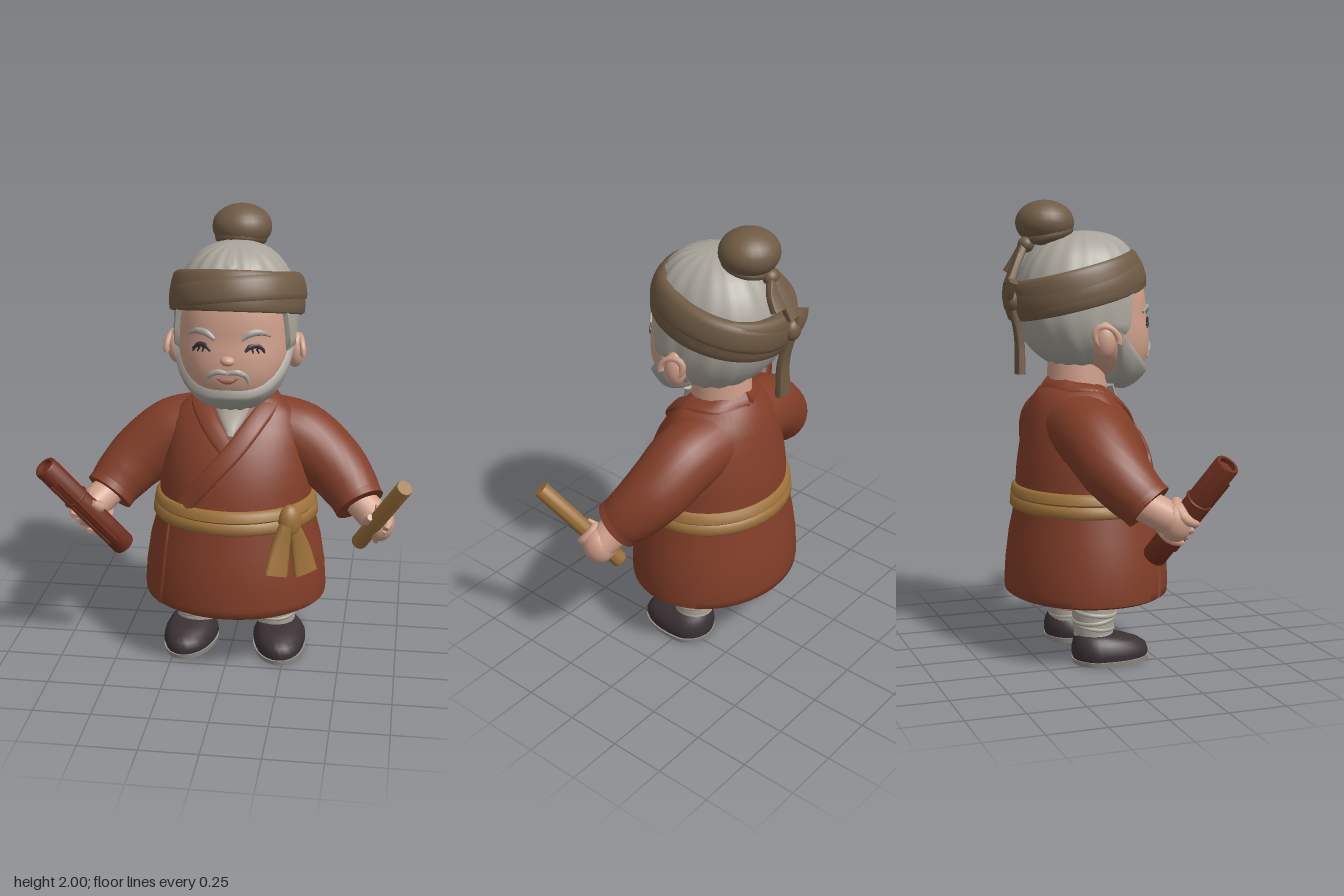
import * as THREE from 'three';
import { toCreasedNormals } from 'three/addons/utils/BufferGeometryUtils.js';

const V = (x, y, z) => new THREE.Vector3(x, y, z);
const { lerp, clamp, smoothstep } = THREE.MathUtils;
const mat = (name, color) => Object.assign(new THREE.MeshStandardMaterial({ color }), { name });

// Surface through rings of points; closed rings also get end caps
function skin(rings, closed = true, crease = 0.9) {
  const n = rings[0].length, pos = [], idx = [];
  rings.forEach(r => r.forEach(p => pos.push(p.x, p.y, p.z)));
  for (let i = 0; i < rings.length - 1; i++)
    for (let j = 0; j < (closed ? n : n - 1); j++) {
      const a = i * n + j, b = i * n + (j + 1) % n;
      idx.push(a, b, a + n, b, b + n, a + n);
    }
  if (closed) [0, rings.length - 1].forEach((i, end) => {
    const c = rings[i].reduce((s, p) => s.add(p), V(0, 0, 0)).divideScalar(n), k = pos.length / 3;
    pos.push(c.x, c.y, c.z);
    for (let j = 0; j < n; j++) {
      const a = i * n + j, b = i * n + (j + 1) % n;
      idx.push(k, end ? a : b, end ? b : a);
    }
  });
  const g = new THREE.BufferGeometry();
  g.setAttribute('position', new THREE.Float32BufferAttribute(pos, 3));
  g.setIndex(idx);
  return toCreasedNormals(g, crease);
}

// Oval section swept along a curve; sizes are [half width, half thickness] along the way
function sweep(pts, sizes, up, segs = 14, sides = 12, power = 1) {
  const curve = new THREE.CatmullRomCurve3(pts), rings = [];
  for (let i = 0; i <= segs; i++) {
    const t = i / segs, p = curve.getPoint(t), T = curve.getTangent(t);
    const N = typeof up === 'function' ? up(p) : up.clone();
    N.addScaledVector(T, -N.dot(T)).normalize();
    const B = N.clone().cross(T), f = t * (sizes.length - 1), k = Math.min(Math.floor(f), sizes.length - 2);
    const w = lerp(sizes[k][0], sizes[k + 1][0], f - k), h = lerp(sizes[k][1], sizes[k + 1][1], f - k);
    rings.push(Array.from({ length: sides }, (_, j) => {
      const a = j / sides * Math.PI * 2, c = Math.cos(a), s = Math.sin(a);
      return p.clone().addScaledVector(B, w * Math.sign(c) * Math.abs(c) ** power)
        .addScaledVector(N, h * Math.sign(s) * Math.abs(s) ** power);
    }));
  }
  return skin(rings);
}

// Robe profile: height, half width, front depth, back depth
const ROBE = [[.278, .39, .35, .335], [.288, .406, .364, .35], [.32, .409, .367, .354], [.42, .402, .362, .348],
  [.55, .382, .347, .332], [.66, .352, .318, .31], [.74, .338, .308, .302], [.82, .337, .293, .3], [.9, .328, .27, .29],
  [1, .305, .228, .273], [1.08, .282, .175, .255], [1.14, .248, .122, .232], [1.19, .19, .08, .2], [1.215, .11, .05, .15]];
function robeRow(y) {
  let i = 0;
  while (i < ROBE.length - 2 && ROBE[i + 1][0] < y) i++;
  const t = clamp((y - ROBE[i][0]) / (ROBE[i + 1][0] - ROBE[i][0]), 0, 1);
  return ROBE[i].map((v, k) => lerp(v, ROBE[i + 1][k], t));
}
const robeRing = (y, off = 0) => {
  const [, rx, zf, zb] = robeRow(y);
  return Array.from({ length: 48 }, (_, j) => {
    const a = j / 48 * Math.PI * 2, c = Math.cos(a);
    return V(Math.sin(a) * (rx + off), y, c * ((c > 0 ? zf : zb) + off));
  });
};
const onRobe = (x, y, off = .006) => {
  const [, rx, zf] = robeRow(y);
  return V(x, y, zf * Math.sqrt(Math.max(0, 1 - (x / rx) ** 2)) + off);
};

// Head: rounded oval with a forward chin
const P = 2.35, HX = .243, HZ = .272, HY = 1.5;
function headPoint(th, ph, off = 0) {
  const d = V(Math.sin(th) * Math.cos(ph), Math.sin(ph), Math.cos(th) * Math.cos(ph));
  d.divideScalar((Math.abs(d.x) ** P + Math.abs(d.y) ** P + Math.abs(d.z) ** P) ** (1 / P));
  const ry = d.y > 0 ? .338 : lerp(.225, .315, smoothstep(d.z, -.2, .4));
  const y = d.y * (ry + off);
  return V(d.x * (HX + off), HY + y, d.z * (HZ + off) + Math.max(0, -y) * .22 - .006);
}
const onFace = (x, y, off = .004) => {
  const dy = y - HY, r = 1 - Math.abs(x / HX) ** P - Math.abs(dy / (dy > 0 ? .338 : .315)) ** P;
  return V(x, y, HZ * Math.max(0, r) ** (1 / P) + Math.max(0, -dy) * .22 + off - .006);
};
// Patch of the head between two elevations for each azimuth
function headPatch(a0, a1, lo, hi, off, cols, rows) {
  return skin(Array.from({ length: rows + 1 }, (_, i) => Array.from({ length: cols + 1 }, (_, j) => {
    const th = lerp(a0, a1, j / cols), v = i / rows;
    return headPoint(th, lerp(lo(th), hi(th), v), off(th, v));
  })), false, 1.2);
}

export function createModel() {
  const root = new THREE.Group(), body = new THREE.Group();
  body.name = 'figure';
  body.position.x = .015;
  root.add(body);
  const robe = mat('robe red', 0x823e28), ochre = mat('ochre', 0x9c7039), cloth = mat('headband brown', 0x6f5a44),
    hair = mat('grey hair', 0xa8a49b), flesh = mat('skin', 0xcf9f8a), shoe = mat('dark shoe', 0x3b3134),
    sole = mat('sole grey', 0x96938c), wrap = mat('leg wrap', 0xb0aa9e), wood = mat('red wood', 0x70301f),
    lip = mat('lip', 0xa4675a);
  hair.side = THREE.DoubleSide;
  const add = (name, geo, m, parent = body) => {
    const o = new THREE.Mesh(geo, m);
    o.name = name;
    parent.add(o);
    return o;
  };
  const ball = (name, m, p, s) => {
    const o = add(name, new THREE.SphereGeometry(1, 24, 16), m);
    o.position.set(...p);
    o.scale.set(...s);
    return o;
  };
  const outward = p => V(p.x, .12, p.z + .02);
  const front = V(0, 0, 1);

  // Robe, lapels and skirt edge
  add('robe', skin(ROBE.map(r => robeRing(r[0]))), robe);
  const chest = p => V(p.x * .6, .35, p.z > 0 ? .6 : p.z * 3);
  add('overLapel', sweep([V(0, 1.212, -.17), V(.12, 1.2, -.11), V(.155, 1.185, .01), onRobe(.1, 1.11), onRobe(.02, 1.01),
    onRobe(-.08, .9), onRobe(-.19, .765, .004)], [[.035, .018], [.042, .016], [.042, .012], [.038, .01]], chest, 36, 12, .6), robe);
  add('underLapel', sweep([V(0, 1.212, -.17), V(-.12, 1.2, -.11), V(-.155, 1.185, .01), onRobe(-.1, 1.11, .003),
    onRobe(0, 1.0, -.004)], [[.035, .018], [.042, .016], [.038, .01]], chest, 28, 12, .6), robe);
  add('undershirt', sweep([V(0, 1.2, .1), V(0, 1.13, .135), V(0, 1.06, .185)], [[.09, .02], [.055, .015], [.012, .01]], front), wrap);
  add('skirtEdge', sweep([.66, .56, .45, .36, .29].map((y, i) => onRobe(-.27 - i * .01, y, 0)),
    [[.012, .007], [.012, .007]], outward, 12, 8), robe);

  // Belt with knot and hanging tails
  add('belt', skin([[.655, -.01], [.66, .01], [.67, .019], [.7, .021], [.712, .012], [.72, .021], [.752, .018], [.762, .008],
    [.766, -.01]].map(([y, o]) => robeRing(y, o))), ochre);
  ball('beltKnot', ochre, [.265, .705, .235], [.055, .078, .045]).rotation.y = .7;
  [[[.25, .7], [.23, .6], [.215, .49]], [[.275, .7], [.31, .58], [.335, .465]]].forEach(t =>
    add('beltTail', sweep(t.map(([x, y], i) => onRobe(x, y, .035 + (i === 0 ? .02 : 0))),
      [[.026, .022], [.046, .02], [.058, .018]], V(.6, 0, .8), 10, 12, .6), ochre));

  // Legs and shoes
  [-1, 1].forEach(s => {
    const leg = new THREE.Group();
    leg.name = s > 0 ? 'leftLeg' : 'rightLeg';
    leg.position.set(s * .185, 0, -.02);
    body.add(leg);
    add('trouserCuff', new THREE.CylinderGeometry(.118, .11, .035, 24), shoe, leg).position.y = .277;
    add('shin', new THREE.CylinderGeometry(.1, .08, .2, 24), wrap, leg).position.y = .17;
    [.13, .162, .194, .226].forEach((y, i) => {
      const ring = add('legWrap', new THREE.TorusGeometry(.077 + i * .005, .011, 8, 24), wrap, leg);
      ring.position.y = y;
      ring.rotation.set(Math.PI / 2 + .12 * (i % 2 ? 1 : -1), .08, 0);
    });
    const foot = new THREE.Group();
    foot.name = 'shoe';
    foot.position.x = s * .015;
    foot.rotation.y = s * .1;
    leg.add(foot);
    // Shoe rows: height, half width, heel depth, toe reach
    const footRing = ([y, w, h, t]) => Array.from({ length: 28 }, (_, j) => {
      const a = j / 28 * Math.PI * 2, c = Math.cos(a);
      return V(Math.sin(a) * w * (1 + .08 * c), y, c > 0 ? c * t : c * h);
    });
    add('sole', skin([[0, .116, .096, .237], [.022, .121, .101, .242]].map(footRing)), sole, foot);
    add('shoeUpper', skin([[.022, .113, .096, .235], [.045, .12, .101, .24], [.075, .115, .1, .229], [.096, .104, .096, .198],
      [.113, .092, .09, .145], [.126, .078, .082, .085]].map(footRing)), shoe, foot);
  });

  // Sleeves, hands and the two held sticks
  const grips = { 1: [V(.557, .56, .08), V(.75, .925, .34), .3, .036], '-1': [V(-.485, .515, .14), V(-.78, .945, .34), .4, .052] };
  [-1, 1].forEach(s => {
    const side = s > 0 ? 'left' : 'right', [a, b, t, r] = grips[s];
    add(side + 'Sleeve', sweep([V(s * .1, 1.035, -.07), V(s * .28, .995, -.055), V(s * .42, .895, -.02), V(s * .505, .81, .035),
      V(s * .555, .747, .088)], [[.16, .15], [.155, .155], [.145, .142], [.126, .126], [.108, .108]], V(0, 1, .1), 28, 24), robe);
    add(side + 'Cuff', sweep([V(s * .541, .765, .073), V(s * .557, .744, .091)], [[.113, .113], [.113, .113]], V(0, 1, .1), 2, 24), robe);
    const dir = b.clone().sub(a).normalize(), len = a.distanceTo(b), c = a.clone().lerp(b, t);
    const palm = c.clone().add(V(s * .03, .005, -.04));
    add(side + 'Wrist', sweep([V(s * .555, .755, .07), palm], [[.075, .07], [.07, .07]], V(0, 1, 0), 6, 16), flesh);
    const hand = new THREE.Group();
    hand.name = side + 'Hand';
    hand.position.copy(c);
    hand.quaternion.setFromUnitVectors(front, dir);
    body.add(hand);
    // Fingers curl round the outer side and leave the front of the stick open
    for (let k = 0; k < 4; k++) {
      const arc = [0, .25, .5, .75, 1].map(u => {
        const q = Math.PI / 2 - s * (2.5 * u - .1);
        return V(Math.cos(q) * (r + .016), Math.sin(q) * (r + .016), -.06 + k * .038);
      });
      add('finger', sweep(arc, [[.026, .026], [.026, .026], [.024, .024], [.013, .013]], front, 14, 10), flesh, hand);
    }
    ball('palm', flesh, palm.toArray(), [.066, .083, .072]);
    add('thumb', sweep([palm.clone().add(V(-s * .03, .03, 0)), c.clone().addScaledVector(dir, .05).add(V(-s * (r + .008), 0, -.005)),
      c.clone().addScaledVector(dir, .09).add(V(-s * (r + .006), 0, .012))], [[.026, .026], [.024, .024], [.014, .014]], V(0, 1, 0), 10, 10), flesh);
    // Solid short stick, or a hollow-ended tube
    const i = r * .68, shell = [[r * .92, 0], [r, .008], [r, len - .008], [r * .92, len]];
    const pts = s > 0 ? [[0, 0], ...shell, [0, len]] : [[0, .02], [i, .02], [i, 0], ...shell, [i, len], [i, len - .02], [0, len - .02]];
    const rod = new THREE.Group();
    rod.name = s > 0 ? 'shortStick' : 'clapperTube';
    rod.position.copy(a);
    rod.quaternion.setFromUnitVectors(V(0, 1, 0), dir);
    body.add(rod);
    add('rod', toCreasedNormals(new THREE.LatheGeometry(pts.map(p => new THREE.Vector2(...p)), 20), .6), s > 0 ? ochre : wood, rod);
    if (s < 0) {
      const ring = add('ring', new THREE.TorusGeometry(r, .007, 8, 24), wood, rod);
      ring.rotation.x = Math.PI / 2;
      ring.position.y = len * .62;
      [-.018, .018].forEach(x => add('slotRib', new THREE.BoxGeometry(.012, len * .72, .014), wood, rod).position.set(x, len * .5, r - .002));
    }
  });

  // Neck, head and ears
  const neck = add('neck', new THREE.CylinderGeometry(.125, .135, .16, 24), flesh);
  neck.position.set(0, 1.25, -.035);
  add('head', headPatch(-Math.PI, Math.PI, () => -1.565, () => 1.565, () => 0, 48, 32), flesh);
  [-1, 1].forEach(s => {
    ball('ear', flesh, [s * .256, 1.41, .005], [.042, .078, .048]).rotation.y = s * .3;
    const rim = add('earRim', new THREE.TorusGeometry(.042, .013, 8, 20, 4.4), flesh);
    rim.position.set(s * .28, 1.42, .007);
    rim.rotation.set(0, Math.PI / 2 + s * .3, -.9);
    rim.scale.y = 1.3;
  });
  ball('nose', flesh, [0, 1.422, .27], [.032, .022, .032]);

  // Hair cap and beard, both gently ribbed
  const hairLow = th => {
    const a = Math.abs(th);
    return .45 - .72 * smoothstep(a, .95, 1.2) - .75 * smoothstep(a, 1.65, 1.9);
  };
  add('hair', headPatch(-Math.PI, Math.PI, hairLow, () => 1.565, (th, v) =>
    (v === 0 ? -.01 : lerp(.02, .03, smoothstep(v, .2, .6))) + .003 * Math.cos(th * 18) * (1 - v * v), 108, 18), hair);
  const beardTop = th => -.66 + .62 * (Math.abs(th) / 1.35) ** 3;
  add('beard', headPatch(-1.38, 1.38, () => -1.55, beardTop, (th, v) =>
    (v === 1 || Math.abs(th) > 1.37 ? -.01 : .02) + .004 * Math.cos(th * 16) * (1 - v), 72, 14), hair);

  // Brows, smiling eyes, moustache and mouth
  [-1, 1].forEach(s => {
    const line = (name, pts, sizes, m) => add(name, sweep(pts.map(([x, y, o]) => onFace(s * x, y, o)), sizes, front, 12, 8), m);
    line('eyebrow', [[.055, 1.51], [.09, 1.536], [.13, 1.54], [.172, 1.52]], [[.008, .006], [.015, .011], [.014, .011], [.006, .005]], hair);
    line('eye', [[.073, 1.462], [.093, 1.482], [.123, 1.484], [.15, 1.462]], [[.005, .005], [.011, .006], [.011, .006], [.005, .005]], shoe);
    [0, 1, 2].forEach(k => line('eyelash', [[.1 + k * .02, 1.476 - k * .003], [.107 + k * .022, 1.456 - k * .002]], [[.006, .004], [.003, .003]], shoe));
    line('moustache', [[0, 1.372, .006], [.04, 1.377, .006], [.075, 1.36, .005], [.09, 1.318, .005]],
      [[.009, .009], [.013, .01], [.011, .009], [.004, .005]], hair);
  });
  add('mouth', sweep([-.045, -.02, 0, .02, .045].map(x => onFace(x, 1.338 + x * x * 6, .006)),
    [[.004, .004], [.014, .009], [.014, .009], [.004, .004]], front, 14, 8), lip);

  // Headband: a rounded wrap tilted back, with a second turn crossing it
  const bandProfile = [[.82, -.07], [.95, -.085], [.99, -.078], [1, -.05], [.995, 0], [.975, .045], [.945, .074], [.9, .087], [.82, .084], [.68, .06]];
  const bandGeo = toCreasedNormals(new THREE.LatheGeometry(bandProfile.map(p => new THREE.Vector2(...p)), 64), 1.1);
  [[0, 1, 1], [.11, 1.014, .68]].forEach(([tilt, grow, tall], k) => {
    const band = add(k ? 'headbandFold' : 'headband', bandGeo, cloth);
    band.position.set(0, 1.638 + k * .006, -.05);
    band.rotation.set(-.25, 0, tilt);
    band.scale.set(.293 * grow, tall, .315 * grow);
  });

  // Topknot and cloth ties at the back
  ball('topknot', cloth, [.003, 1.902, -.178], [.13, .098, .127]);
  const tie = add('topknotTie', new THREE.TorusGeometry(.088, .026, 10, 32), cloth);
  tie.position.set(0, 1.853, -.165);
  tie.rotation.x = Math.PI / 2 - .25;
  const back = V(0, .2, -1);
  ball('topknotTieKnot', cloth, [-.02, 1.81, -.27], [.038, .035, .035]);
  ball('headbandKnot', cloth, [-.07, 1.575, -.35], [.042, .048, .032]);
  [[V(-.02, 1.82, -.275), V(-.04, 1.74, -.315), V(-.06, 1.64, -.36)], [V(-.02, 1.82, -.275), V(.01, 1.75, -.305), V(.015, 1.69, -.34)],
    [V(-.07, 1.57, -.35), V(-.06, 1.42, -.315), V(-.065, 1.26, -.312)], [V(-.07, 1.56, -.355), V(-.1, 1.62, -.365), V(-.115, 1.66, -.355)]]
    .forEach(p => add('clothTail', sweep(p, [[.02, .018], [.032, .018], [.04, .02]], back, 10, 10, .6), cloth));

  return root;
}
